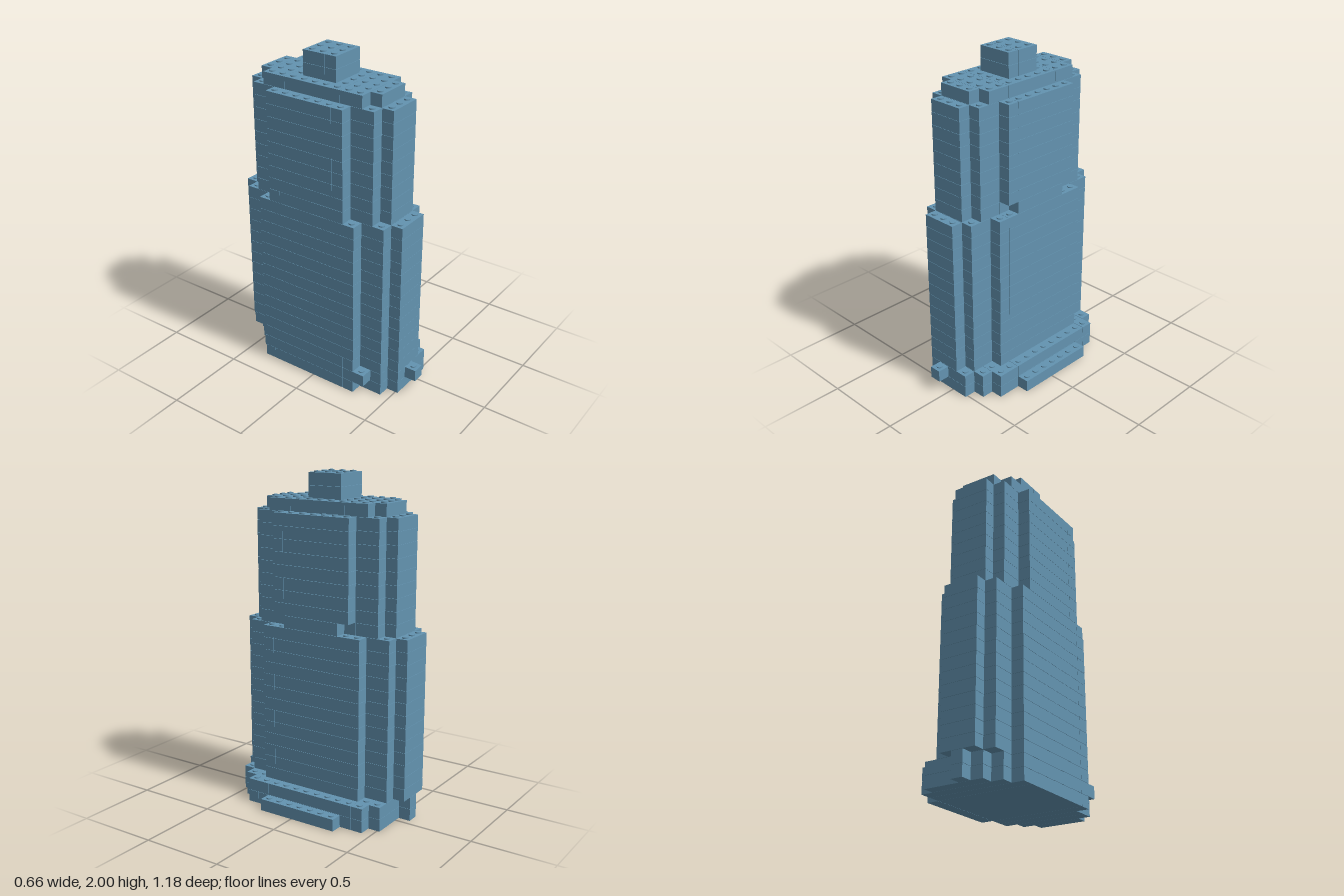
import * as THREE from 'three';

const P = 0.0738;        // stud pitch and brick height
const GAP = 0.0016;      // seam between bricks
const STUD_H = 0.0074;
const X0 = -4.5 * P, Z0 = -8 * P;

// Plans are lists of [first row, last row, first column, last column];
// rows run from back to front, columns from right to left of the model.
const baseLow = [
  [0, 0, 3, 3], [1, 1, 2, 6], [2, 2, 1, 7], [3, 3, 0, 7],
  [4, 10, 0, 7], [4, 10, 8, 8], [11, 11, 0, 7],
  [12, 12, 1, 7], [13, 13, 1, 6], [14, 14, 2, 5],
];
const baseHigh = [
  [0, 0, 3, 3], [1, 1, 2, 6], [2, 2, 1, 7], [3, 10, 0, 7],
  [11, 12, 0, 7], [13, 13, 1, 6], [14, 14, 2, 5], [15, 15, 3, 3],
];
const lowerTower = [
  [0, 0, 2, 4], [1, 2, 1, 5], [3, 10, 0, 6],
  [11, 11, 0, 6], [12, 13, 1, 5], [14, 14, 2, 4],
];
// First upper course leaves two corner notches open on one side
const notchedTower = [
  [1, 1, 2, 4], [2, 3, 1, 5], [4, 4, 0, 5], [5, 9, 0, 6],
  [10, 10, 0, 5], [11, 12, 1, 5], [13, 13, 2, 4],
];
const upperTower = [
  [1, 1, 2, 4], [2, 3, 1, 5], [4, 9, 0, 6],
  [10, 10, 0, 6], [11, 12, 1, 5], [13, 13, 2, 4],
];
const roofStep = [[2, 2, 2, 4], [3, 4, 1, 5], [5, 9, 1, 5], [10, 11, 1, 5], [12, 12, 2, 4]];
const roofBlock = [[6, 7, 2, 4], [8, 8, 2, 4]];

function planOf(layer) {
  if (layer === 0) return ['baseLow', baseLow];
  if (layer === 1) return ['baseHigh', baseHigh];
  if (layer < 15) return ['lowerTower', lowerTower];
  if (layer === 15) return ['notchedTower', notchedTower];
  if (layer < 24) return ['upperTower', upperTower];
  if (layer === 24) return ['roofStep', roofStep];
  return ['roofBlock', roofBlock];
}

const covers = (plan, r, c) =>
  plan.some(([r0, r1, c0, c1]) => r >= r0 && r <= r1 && c >= c0 && c <= c1);

export function createModel() {
  const model = new THREE.Group();
  model.name = 'brickTower';
  const blue = new THREE.MeshStandardMaterial({ color: 0x6393b0 });
  blue.name = 'dusty blue';
  const studGeo = new THREE.CylinderGeometry(0.0177, 0.0177, STUD_H, 16);

  for (let layer = 0; layer < 27; layer++) {
    const [name, plan] = planOf(layer);
    const above = layer < 26 ? planOf(layer + 1)[1] : [];
    const course = new THREE.Group();
    course.name = name + 'Course' + layer;

    for (const [r0, r1, c0, c1] of plan) {
      // Brick
      const w = (c1 - c0 + 1) * P, d = (r1 - r0 + 1) * P;
      const brick = new THREE.Mesh(new THREE.BoxGeometry(w - GAP, P - GAP, d - GAP), blue);
      brick.name = 'brick';
      brick.position.set(X0 + c0 * P + w / 2, (layer + 0.5) * P, Z0 + r0 * P + d / 2);
      course.add(brick);

      // Studs wherever the next course leaves the top exposed
      for (let r = r0; r <= r1; r++) {
        for (let c = c0; c <= c1; c++) {
          if (covers(above, r, c)) continue;
          const stud = new THREE.Mesh(studGeo, blue);
          stud.name = 'stud';
          stud.position.set(X0 + (c + 0.5) * P, (layer + 1) * P + STUD_H / 2 - GAP / 2, Z0 + (r + 0.5) * P);
          course.add(stud);
        }
      }
    }
    model.add(course);
  }
  return model;
}
